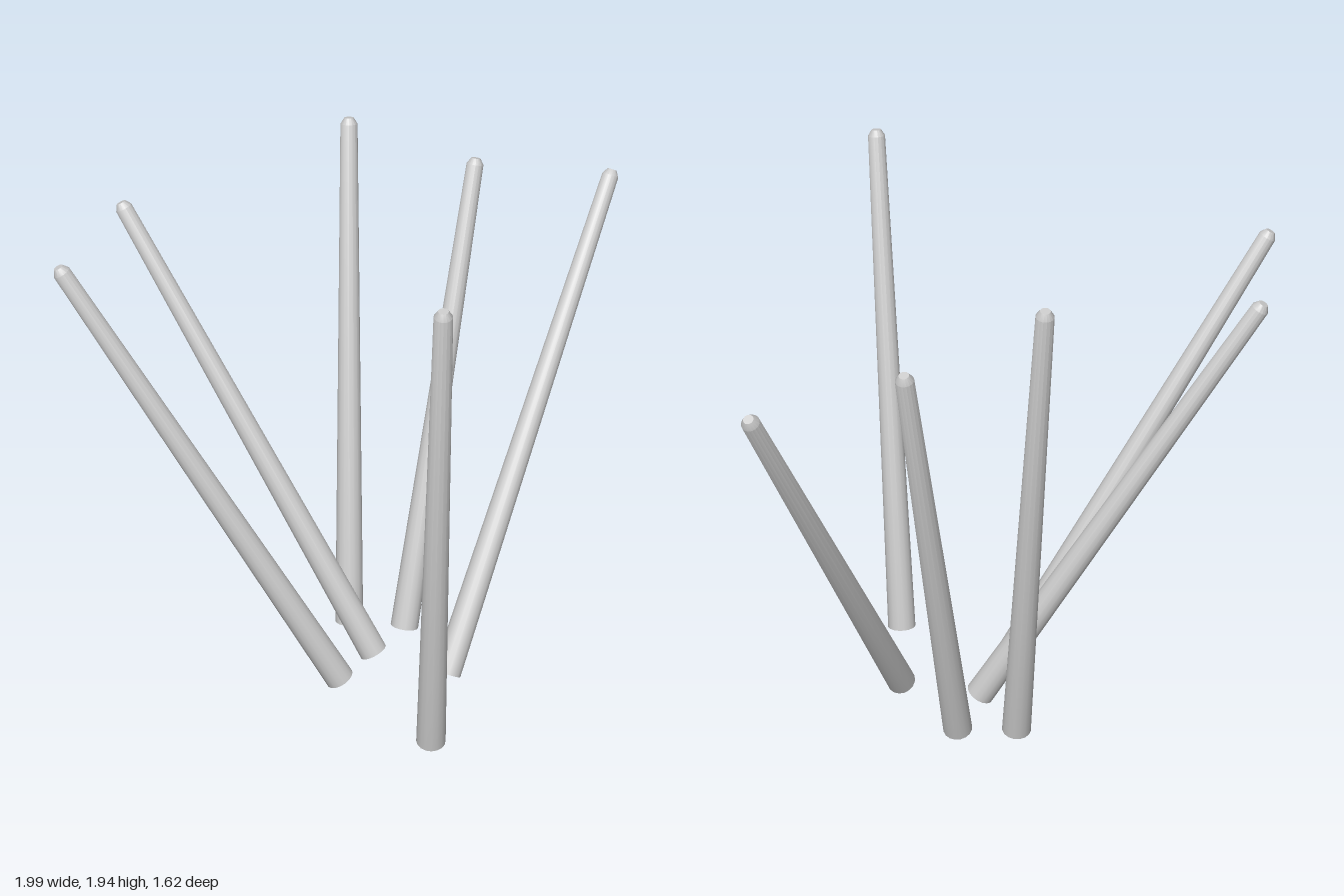
import * as THREE from 'three';
import { toCreasedNormals } from 'three/addons/utils/BufferGeometryUtils.js';

const BASE_RADIUS = 0.053;
const TIP_RADIUS = 0.031;
const SIDES = 16;

// Base centre and tip centre of each pole
const POLES = [
  { name: 'frontPole', base: [0.296, 0.014, 0.452], tip: [0.296, 1.94, 0.78] },
  { name: 'backPole', base: [0.006, 0.016, -0.303], tip: [0.006, 1.927, -0.717] },
  { name: 'backLeftPole', base: [0.216, 0.02, -0.263], tip: [0.468, 1.757, -0.737] },
  { name: 'leftPole', base: [0.367, 0.032, 0.06], tip: [0.972, 1.685, -0.79] },
  { name: 'rightPole', base: [-0.03, 0.032, 0.094], tip: [-0.983, 1.737, 0.083] },
  { name: 'backRightPole', base: [0.095, 0.032, -0.077], tip: [-0.805, 1.728, -0.435] },
];

// Tapered round pole with a flat foot and a bevelled tip, standing along +y
function poleGeometry(length) {
  const profile = [
    [0, 0],
    [BASE_RADIUS, 0],
    [TIP_RADIUS, length - 0.022],
    [TIP_RADIUS * 0.55, length],
    [0, length],
  ].map(([r, y]) => new THREE.Vector2(r, y));
  return toCreasedNormals(new THREE.LatheGeometry(profile, SIDES), 0.6);
}

export function createModel() {
  const group = new THREE.Group();
  group.name = 'leaningPoles';
  const material = new THREE.MeshStandardMaterial({ color: 0xcccccc });
  const up = new THREE.Vector3(0, 1, 0);

  for (const { name, base, tip } of POLES) {
    const start = new THREE.Vector3(...base);
    const axis = new THREE.Vector3(...tip).sub(start);
    const pole = new THREE.Mesh(poleGeometry(axis.length()), material);
    pole.name = name;
    pole.position.copy(start);
    pole.quaternion.setFromUnitVectors(up, axis.normalize());
    group.add(pole);
  }
  return group;
}
